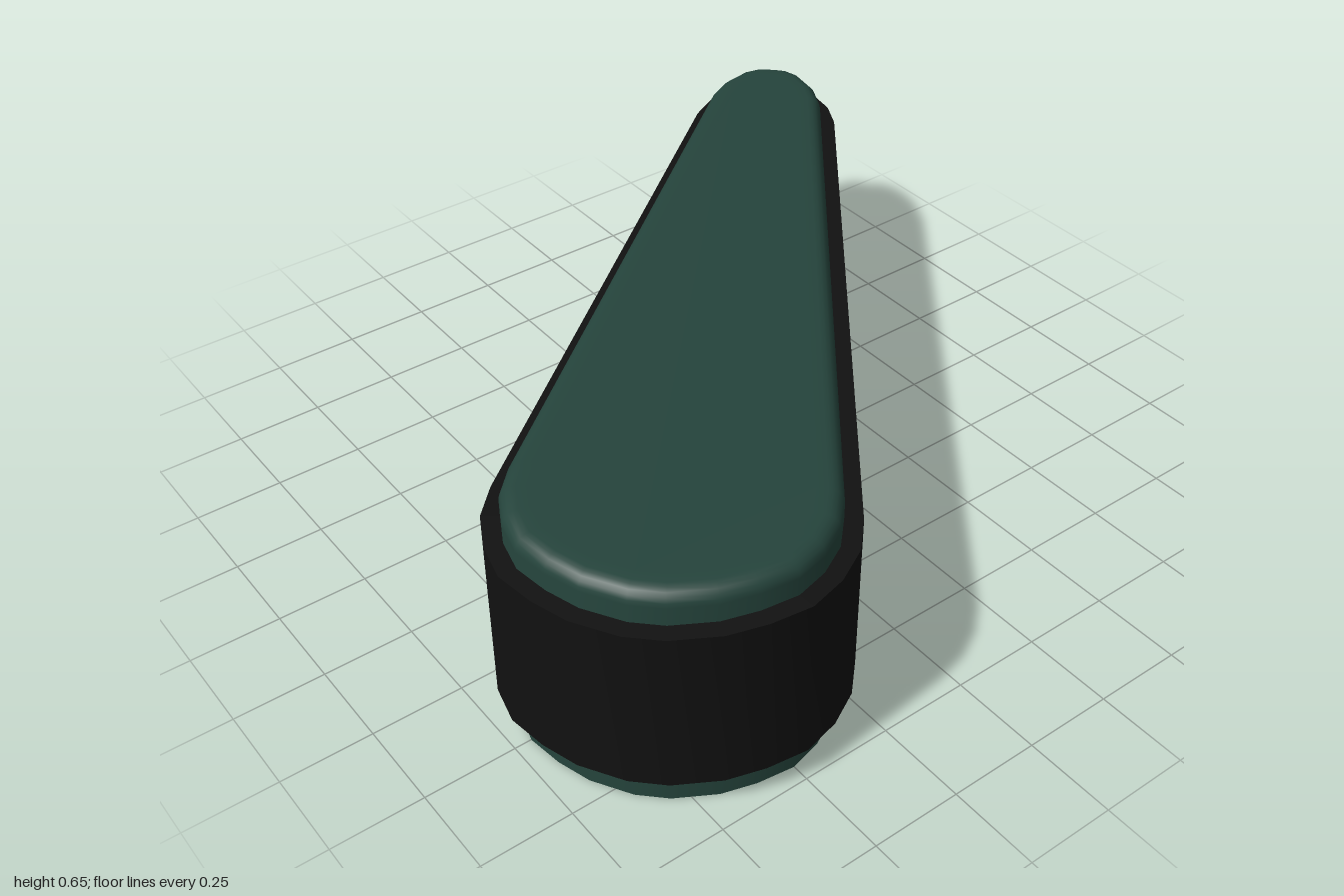
import * as THREE from 'three';
import { toCreasedNormals } from 'three/addons/utils/BufferGeometryUtils.js';

// Half of the teardrop plan (x, z), wide end to narrow end; mirrored across z = -x
const half = [
  [-0.89, 0.82], [-0.955, 0.71], [-0.985, 0.61], [-1, 0.5], [-0.975, 0.395], [-0.925, 0.3],
  [-0.85, 0.225], [0.63, -0.935], [0.715, -0.98], [0.825, -1], [0.895, -0.985], [0.93, -0.957],
];
const outline = [...half, ...half.map(([x, z]) => [-z, -x]).reverse()]
  .map(([x, z]) => new THREE.Vector2(x, z));

// Outline moved inward by a constant distance, with mitred corners
function inset(distance) {
  const n = outline.length;
  const normal = (a, b) => new THREE.Vector2(a.y - b.y, b.x - a.x).normalize();
  return outline.map((p, i) => {
    const n1 = normal(outline[(i + n - 1) % n], p);
    const n2 = normal(p, outline[(i + 1) % n]);
    const scale = distance / (1 + n1.dot(n2));
    return n1.add(n2).multiplyScalar(scale).add(p);
  });
}

// Skin through stacked outlines, each layer given as [height, inset]
function loft(layers, capped) {
  const n = outline.length;
  const positions = [];
  const index = [];
  layers.forEach(([y, d]) => inset(d).forEach((p) => positions.push(p.x, y, p.y)));
  for (let j = 0; j < layers.length - 1; j++) {
    for (let i = 0; i < n; i++) {
      const a = j * n + i;
      const b = j * n + ((i + 1) % n);
      index.push(a, a + n, b + n, a, b + n, b);
    }
  }
  if (capped) {
    const top = (layers.length - 1) * n;
    for (let i = 1; i < n - 1; i++) {
      index.push(0, i, i + 1, top, top + i + 1, top + i);
    }
  }
  const geometry = new THREE.BufferGeometry();
  geometry.setAttribute('position', new THREE.Float32BufferAttribute(positions, 3));
  geometry.setIndex(index);
  return toCreasedNormals(geometry, Math.PI / 4);
}

export function createModel() {
  const group = new THREE.Group();
  const add = (name, geometry, color, side = THREE.FrontSide) => {
    const mesh = new THREE.Mesh(geometry, new THREE.MeshStandardMaterial({ color, side }));
    mesh.name = name;
    group.add(mesh);
  };

  // Core: sharp bottom edge, rounded top edge
  const wall = 0.046;
  const radius = 0.04;
  const height = 0.655;
  const layers = [[0, wall]];
  for (let k = 0; k <= 5; k++) {
    const t = (k / 5) * Math.PI / 2;
    layers.push([height - radius * (1 - Math.sin(t)), wall + radius * (1 - Math.cos(t))]);
  }
  layers.push([height, wall + radius + 0.03]);
  add('core', loft(layers, true), 0x25443c);

  // Band wrapped around the core
  add('band', loft([[0.1, 0.06], [0.1, 0], [0.565, 0], [0.565, 0.06]], false), 0x111111, THREE.DoubleSide);

  return group;
}
